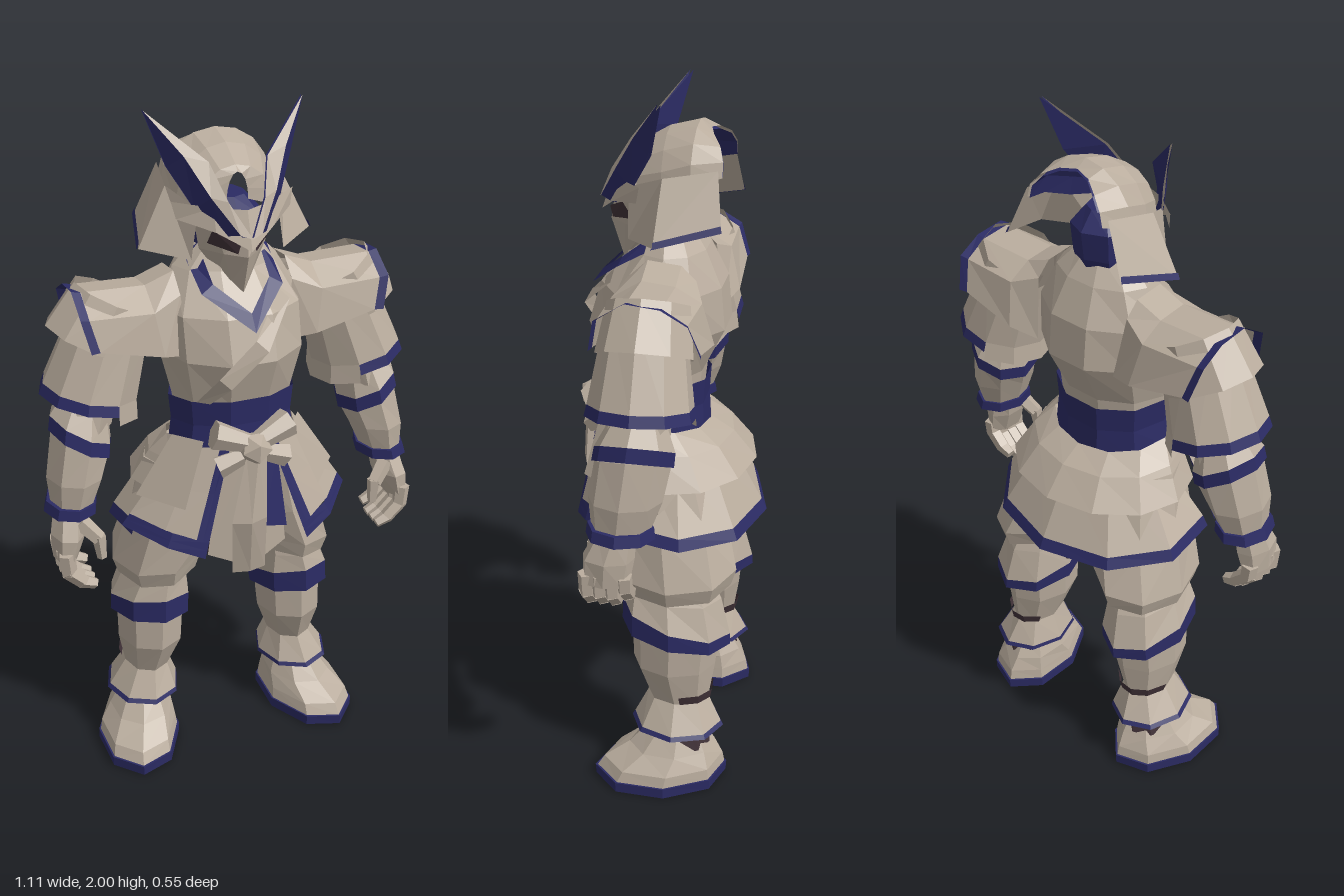
import * as THREE from 'three';

const paint = (name, color) =>
  new THREE.MeshStandardMaterial({ name, color, flatShading: true, side: THREE.DoubleSide });

export function createModel() {
  const plate = paint('sand plate', 0xbaad9e);
  const navy = paint('navy trim', 0x2b2b64);
  const dark = paint('dark cloth', 0x413238);
  const model = new THREE.Group();
  model.name = 'armouredWarrior';

  // Faceted surface through rows of points, optionally capped at both ends
  function grid(parent, name, mat, rows, capped = false) {
    const pos = [];
    const tri = (...p) => p.forEach((q) => pos.push(...q));
    for (let i = 0; i + 1 < rows.length; i++) {
      for (let j = 0; j + 1 < rows[i].length; j++) {
        const a = rows[i][j], b = rows[i][j + 1], c = rows[i + 1][j], d = rows[i + 1][j + 1];
        tri(a, b, c);
        tri(b, d, c);
      }
    }
    if (capped) {
      [rows[0], rows[rows.length - 1]].forEach((r, end) => {
        for (let j = 1; j + 1 < r.length; j++) {
          if (end) tri(r[0], r[j], r[j + 1]);
          else tri(r[0], r[j + 1], r[j]);
        }
      });
    }
    const g = new THREE.BufferGeometry();
    g.setAttribute('position', new THREE.Float32BufferAttribute(pos, 3));
    g.computeVertexNormals();
    const m = new THREE.Mesh(g, mat);
    m.name = name;
    parent.add(m);
  }

  // Sections from top down: [y, cx, cz, rx, rz, tiltX, tiltZ]
  function loft(parent, name, mat, secs, { n = 9, a0 = 0, a1 = Math.PI * 2, capped = false } = {}) {
    const rows = secs.map(([y, cx, cz, rx, rz, tx = 0, tz = 0]) =>
      Array.from({ length: n + 1 }, (_, j) => {
        const a = a0 + ((a1 - a0) * j) / n, c = Math.cos(a), s = Math.sin(a);
        return [cx + rx * c, y + tx * c + tz * s, cz + rz * s];
      }));
    grid(parent, name, mat, rows, capped);
  }

  // Tapered rod between two points
  function rod(parent, name, mat, p, q, r0, r1, sides = 5) {
    const a = new THREE.Vector3(...p), b = new THREE.Vector3(...q), d = b.clone().sub(a);
    const m = new THREE.Mesh(new THREE.CylinderGeometry(r1, r0, d.length(), sides), mat);
    m.position.copy(a).add(b).multiplyScalar(0.5);
    m.quaternion.setFromUnitVectors(new THREE.Vector3(0, 1, 0), d.normalize());
    m.name = name;
    parent.add(m);
  }

  const PI = Math.PI;
  const mix = (p, q, t) => p.map((v, i) => v + (q[i] - v) * t);
  const mirrorRow = (half) => [...half, ...half.slice(0, -1).reverse().map(([x, y, z]) => [-x, y, z])];

  // Torso, belt and crotch
  loft(model, 'torso', plate, [[1.65, 0, 0, 0.08, 0.06], [1.58, 0, -0.01, 0.15, 0.1], [1.48, 0, 0.015, 0.205, 0.175],
    [1.36, 0, 0.028, 0.205, 0.2], [1.23, 0, 0.04, 0.175, 0.145], [1.14, 0, 0.04, 0.165, 0.135]], { n: 10, capped: true });
  loft(model, 'belt', navy, [[1.225, 0, 0.04, 0.185, 0.155, 0, 0.02], [1.15, 0, 0.04, 0.178, 0.15, 0, 0.02],
    [1.07, 0, 0.04, 0.19, 0.155, 0, 0.04]], { n: 10 });
  loft(model, 'hips', dark, [[1.0, 0, -0.01, 0.14, 0.13], [0.85, 0, -0.03, 0.13, 0.17], [0.68, 0, -0.04, 0.1, 0.14]], { n: 8, capped: true });
  loft(model, 'neck', dark, [[1.7, 0, 0.02, 0.06, 0.06], [1.6, 0, 0, 0.07, 0.07]], { n: 8 });
  grid(model, 'collar', navy, [
    mirrorRow([[-0.085, 1.64, 0.01], [-0.08, 1.56, 0.115], [0, 1.495, 0.19]]),
    mirrorRow([[-0.12, 1.61, 0], [-0.115, 1.54, 0.125], [0, 1.452, 0.222]])]);
  grid(model, 'chestFold', plate, [
    [[0.1, 1.53, 0.135], [0, 1.43, 0.225], [-0.1, 1.33, 0.215], [-0.14, 1.24, 0.145]],
    [[0.13, 1.5, 0.14], [0.03, 1.4, 0.24], [-0.07, 1.3, 0.225], [-0.11, 1.24, 0.17]]]);

  // Sash knot, bow and hanging tails
  const knot = new THREE.Mesh(new THREE.IcosahedronGeometry(0.05, 0), plate);
  knot.name = 'sashKnot';
  knot.position.set(0, 1.11, 0.22);
  model.add(knot);
  for (const s of [-1, 1]) {
    rod(model, 'sashLoop', plate, [0, 1.12, 0.215], [0.11 * s, 1.16, 0.195], 0.025, 0.042, 6);
    rod(model, 'sashEnd', plate, [0, 1.1, 0.215], [0.1 * s, 1.06, 0.2], 0.02, 0.034, 5);
  }
  grid(model, 'apron', plate, [[[-0.08, 1.1, 0.18], [0, 1.1, 0.19], [0.08, 1.1, 0.18]],
    [[-0.12, 0.76, 0.17], [0, 0.71, 0.2], [0.12, 0.76, 0.17]]]);
  grid(model, 'apronStripe', navy, [[[0.01, 1.08, 0.21], [0.075, 1.08, 0.2]], [[0.02, 0.87, 0.245], [0.095, 0.85, 0.235]]]);
  loft(model, 'sashTail', plate, [[1.1, 0, 0.235, 0.03, 0.015], [0.9, -0.025, 0.25, 0.052, 0.018], [0.71, -0.01, 0.21, 0.05, 0.012]],
    { n: 4, capped: true });

  // Rear skirt in two tiers, pointed at the back
  const upperArc = { n: 8, a0: PI - 0.55, a1: 2 * PI + 0.55 };
  const lowerArc = { n: 6, a0: PI - 0.4, a1: 2 * PI + 0.4 };
  loft(model, 'upperSkirt', plate, [[1.1, 0, 0.03, 0.19, 0.15, 0, 0.03], [1.04, 0, 0, 0.235, 0.185, 0, 0.01], [0.95, 0, -0.02, 0.285, 0.232]], upperArc);
  loft(model, 'lowerSkirt', plate, [[1.0, 0, -0.02, 0.22, 0.15], [0.845, 0, -0.02, 0.33, 0.25, 0, 0.03]], lowerArc);
  loft(model, 'lowerSkirtTrim', navy, [[0.845, 0, -0.02, 0.33, 0.25, 0, 0.03], [0.812, 0, -0.02, 0.345, 0.266, 0, 0.03]], lowerArc);

  // Head and mask
  const head = new THREE.Group();
  head.name = 'head';
  model.add(head);
  loft(head, 'hood', navy, [[1.77, 0, 0, 0.05, 0.06], [1.72, 0, 0, 0.095, 0.1], [1.64, 0, 0, 0.09, 0.09], [1.58, 0, 0, 0.08, 0.07]],
    { n: 8, capped: true });
  grid(head, 'mask', plate, [
    mirrorRow([[-0.11, 1.73, 0.05], [-0.07, 1.72, 0.11], [0, 1.7, 0.155]]),
    mirrorRow([[-0.095, 1.64, 0.05], [-0.05, 1.64, 0.115], [0, 1.64, 0.165]]),
    mirrorRow([[-0.045, 1.57, 0.06], [-0.025, 1.56, 0.11], [0, 1.53, 0.13]])]);
  grid(head, 'browVisor', plate, [
    mirrorRow([[-0.17, 1.775, 0.05], [-0.08, 1.77, 0.12], [0, 1.765, 0.155]]),
    mirrorRow([[-0.16, 1.73, 0.06], [-0.08, 1.71, 0.14], [0, 1.665, 0.19]])]);

  // Helmet vault, notched and open at the back, with a small opening in front
  const arc = (w, y, h, z, notch = 0) => Array.from({ length: 9 }, (_, j) => {
    const s = Math.sin((PI * j) / 8);
    return [w * Math.cos((PI * j) / 8), y + h * s, z + notch * s ** 4];
  });
  const vault = (inset) => [[0.11, 1.74, 0.12, 0.07], [0.14, 1.75, 0.15, 0], [0.155, 1.78, 0.14, -0.08], [0.13, 1.8, 0.1, -0.16, 0.05]]
    .map(([w, y, h, z, notch]) => arc(w - inset, y, h - inset, z, notch));
  grid(head, 'helmet', plate, vault(0));
  grid(head, 'helmetLining', navy, vault(0.008));
  grid(head, 'helmetFront', plate, [arc(0.11, 1.74, 0.12, 0.07), arc(0.03, 1.77, 0.075, 0.085)]);

  // Everything paired is built on the left, then mirrored
  const side = new THREE.Group();
  side.name = 'leftSide';

  // Helmet horn with its navy outer flank, neck flap and eye
  const tip = [0.22, 2.0, -0.01];
  const inner = [[0, 1.7, 0.195], [0.05, 1.79, 0.15], [0.08, 1.88, 0.09], tip];
  const ridge = [[0.03, 1.71, 0.185], [0.09, 1.8, 0.13], [0.14, 1.895, 0.07], tip];
  const outer = [[0.06, 1.7, 0.145], [0.118, 1.76, 0.085], [0.172, 1.86, 0.025], tip];
  grid(side, 'hornFace', plate, [inner, ridge]);
  grid(side, 'hornFlank', navy, [ridge, outer]);
  grid(side, 'hornBack', navy, [inner, outer].map((r) => r.map(([x, y, z]) => [x, y, z - 0.009])));
  grid(side, 'neckFlap', plate, [[[0.11, 1.76, 0.09], [0.165, 1.8, -0.01], [0.14, 1.82, -0.15]],
    [[0.13, 1.625, 0.09], [0.245, 1.64, 0], [0.2, 1.68, -0.17]]]);
  grid(side, 'neckFlapTrim', navy, [[[0.243, 1.655, 0], [0.199, 1.695, -0.168]], [[0.25, 1.638, 0], [0.205, 1.678, -0.172]]]);
  grid(side, 'eye', dark, [[[0.02, 1.68, 0.163], [0.08, 1.71, 0.115]], [[0.025, 1.65, 0.155], [0.085, 1.665, 0.085]]]);

  // Shoulder cap: arches across the shoulder, running outwards
  const arch = ([x, top, low, w]) => [[x - 0.02, low, w], [x, top - 0.05, w * 0.85], [x, top, 0.03], [x, top - 0.01, -0.06],
    [x, top - 0.05, -w], [x - 0.02, low, -w - 0.03]];
  grid(side, 'shoulderCap', plate, [[0.16, 1.58, 1.36, 0.1], [0.24, 1.55, 1.38, 0.13], [0.415, 1.555, 1.42, 0.125]].map(arch));
  grid(side, 'shoulderCapTrim', navy, [[0.415, 1.555, 1.42, 0.125], [0.44, 1.56, 1.42, 0.13]].map(arch));
  loft(side, 'middleShoulderPlate', plate, [[1.52, 0.32, -0.01, 0.1, 0.11, 0.05], [1.4, 0.38, -0.01, 0.125, 0.13, 0.06]]);

  // Hanging shoulder plate, trimmed outside, with a longer plain flap inside
  const outerArc = { n: 6, a0: -1.9, a1: 1.9 }, innerArc = { n: 4, a0: 1.9, a1: 2 * PI - 1.9 };
  const sleeveTop = [1.45, 0.33, 0, 0.1, 0.11, 0.05], sleeveRim = [1.27, 0.395, 0, 0.13, 0.14, 0.03];
  loft(side, 'lowerShoulderPlate', plate, [sleeveTop, sleeveRim], outerArc);
  loft(side, 'lowerShoulderTrim', navy, [sleeveRim, [1.24, 0.4, 0, 0.137, 0.147, 0.03]], outerArc);
  loft(side, 'innerShoulderFlap', plate, [sleeveTop, sleeveRim, [1.215, 0.4, 0, 0.137, 0.147, 0.03]], innerArc);

  // Arm, bracer and hand
  loft(side, 'upperArm', plate, [[1.5, 0.28, 0, 0.09, 0.1], [1.3, 0.39, 0, 0.075, 0.085], [1.17, 0.42, 0.01, 0.075, 0.09]], { n: 7 });
  loft(side, 'elbowGuard', plate, [[1.22, 0.415, 0.005, 0.065, 0.08, 0.03], [1.16, 0.43, 0.01, 0.084, 0.108, 0.045]], { n: 8 });
  loft(side, 'elbowTrim', navy, [[1.16, 0.43, 0.01, 0.084, 0.108, 0.045], [1.12, 0.436, 0.015, 0.086, 0.11, 0.045]], { n: 8 });
  loft(side, 'forearm', plate, [[1.12, 0.436, 0.015, 0.08, 0.102, 0.04], [1.03, 0.46, 0.03, 0.08, 0.1], [0.95, 0.475, 0.04, 0.06, 0.08]], { n: 8 });
  loft(side, 'wristTrim', navy, [[0.96, 0.475, 0.04, 0.072, 0.09], [0.93, 0.48, 0.04, 0.076, 0.094]], { n: 8, capped: true });
  loft(side, 'palm', plate, [[0.94, 0.485, 0.05, 0.045, 0.055], [0.87, 0.5, 0.07, 0.048, 0.072], [0.8, 0.513, 0.075, 0.033, 0.065]], { n: 7, capped: true });
  for (let i = 0; i < 4; i++) {
    const z = 0.125 - i * 0.034, k = i === 3 ? 0.02 : 0;
    rod(side, 'fingerBase', plate, [0.52, 0.83, z], [0.515, 0.765 + k, z], 0.024, 0.023);
    rod(side, 'fingerMiddle', plate, [0.52, 0.775 + k, z], [0.475, 0.73 + k, z], 0.023, 0.022);
    rod(side, 'fingerTip', plate, [0.482, 0.733 + k, z], [0.44, 0.715 + k, z], 0.022, 0.016);
  }
  rod(side, 'thumbBase', plate, [0.47, 0.91, 0.1], [0.425, 0.86, 0.125], 0.026, 0.022);
  rod(side, 'thumbTip', plate, [0.425, 0.87, 0.125], [0.42, 0.8, 0.13], 0.021, 0.014);

  // Front skirt panel with trimmed lower and inner edges
  const panel = (u0, u1, v0, v1) => [v0, (v0 + v1) / 2, v1].map((v) => [u0, (u0 + u1) / 2, u1].map((u) => {
    const p = mix(mix([0.19, 1.09, 0.11], [0.06, 1.11, 0.19], u), mix([0.345, 0.86, 0.08], [0.155, 0.8, 0.245], u), v);
    p[2] += 0.035 * Math.sin(PI * u) * v;
    return p;
  }));
  grid(side, 'frontSkirt', plate, panel(0, 0.82, 0, 0.85));
  grid(side, 'frontSkirtHem', navy, panel(0, 1, 0.85, 1));
  grid(side, 'frontSkirtEdge', navy, panel(0.82, 1, 0, 0.85));
  grid(side, 'hipPlate', plate, [[[0.19, 1.12, 0.08], [0.13, 1.13, 0.17]], [[0.3, 0.95, 0.08], [0.2, 0.95, 0.21]]]);

  // Trousers and leg armour
  loft(side, 'trouserLeg', plate, [[1.02, 0.12, 0, 0.13, 0.13], [0.82, 0.16, -0.03, 0.14, 0.165], [0.69, 0.205, -0.05, 0.135, 0.18, -0.025],
    [0.64, 0.205, -0.05, 0.118, 0.165, -0.025]], { n: 8, capped: true });
  const kneeRim = [0.53, 0.225, -0.06, 0.122, 0.158, 0.005, 0.045];
  loft(side, 'kneeGuard', plate, [[0.68, 0.2, -0.04, 0.08, 0.11], [0.61, 0.215, -0.05, 0.1, 0.14, 0, 0.015], kneeRim], { n: 8 });
  loft(side, 'kneeTrim', navy, [kneeRim, [0.477, 0.228, -0.06, 0.122, 0.16, 0.005, 0.025]], { n: 8 });
  loft(side, 'shinGuard', plate, [[0.52, 0.225, -0.06, 0.105, 0.13], [0.38, 0.23, -0.055, 0.1, 0.122], [0.27, 0.24, -0.07, 0.068, 0.09],
    [0.19, 0.252, -0.07, 0.108, 0.13]], { n: 8 });
  loft(side, 'calfStrap', dark, [[0.305, 0.238, -0.068, 0.086, 0.108], [0.275, 0.24, -0.072, 0.075, 0.098]], { n: 4, a0: PI * 1.2, a1: PI * 1.95 });
  loft(side, 'ankleTrim', navy, [[0.19, 0.252, -0.07, 0.108, 0.13], [0.178, 0.255, -0.07, 0.114, 0.138]], { n: 8 });
  loft(side, 'ankle', dark, [[0.24, 0.25, -0.08, 0.06, 0.075], [0.12, 0.265, -0.08, 0.075, 0.09]], { n: 8 });

  // Shoe, toes turned out a little
  const shoe = new THREE.Group();
  shoe.name = 'shoe';
  shoe.position.set(0.285, 0, -0.025);
  shoe.rotation.y = 0.24;
  side.add(shoe);
  loft(shoe, 'shoeUpper', plate, [[0.165, -0.015, -0.045, 0.068, 0.085], [0.11, -0.01, -0.035, 0.096, 0.128], [0.065, 0, -0.008, 0.116, 0.178],
    [0.03, 0, 0, 0.122, 0.192]], { n: 8, capped: true });
  loft(shoe, 'sole', navy, [[0.032, 0, 0, 0.127, 0.198], [0, 0, 0, 0.127, 0.196]], { n: 8, capped: true });

  const right = side.clone(true);
  right.name = 'rightSide';
  right.scale.x = -1;
  model.add(side, right);
  return model;
}
